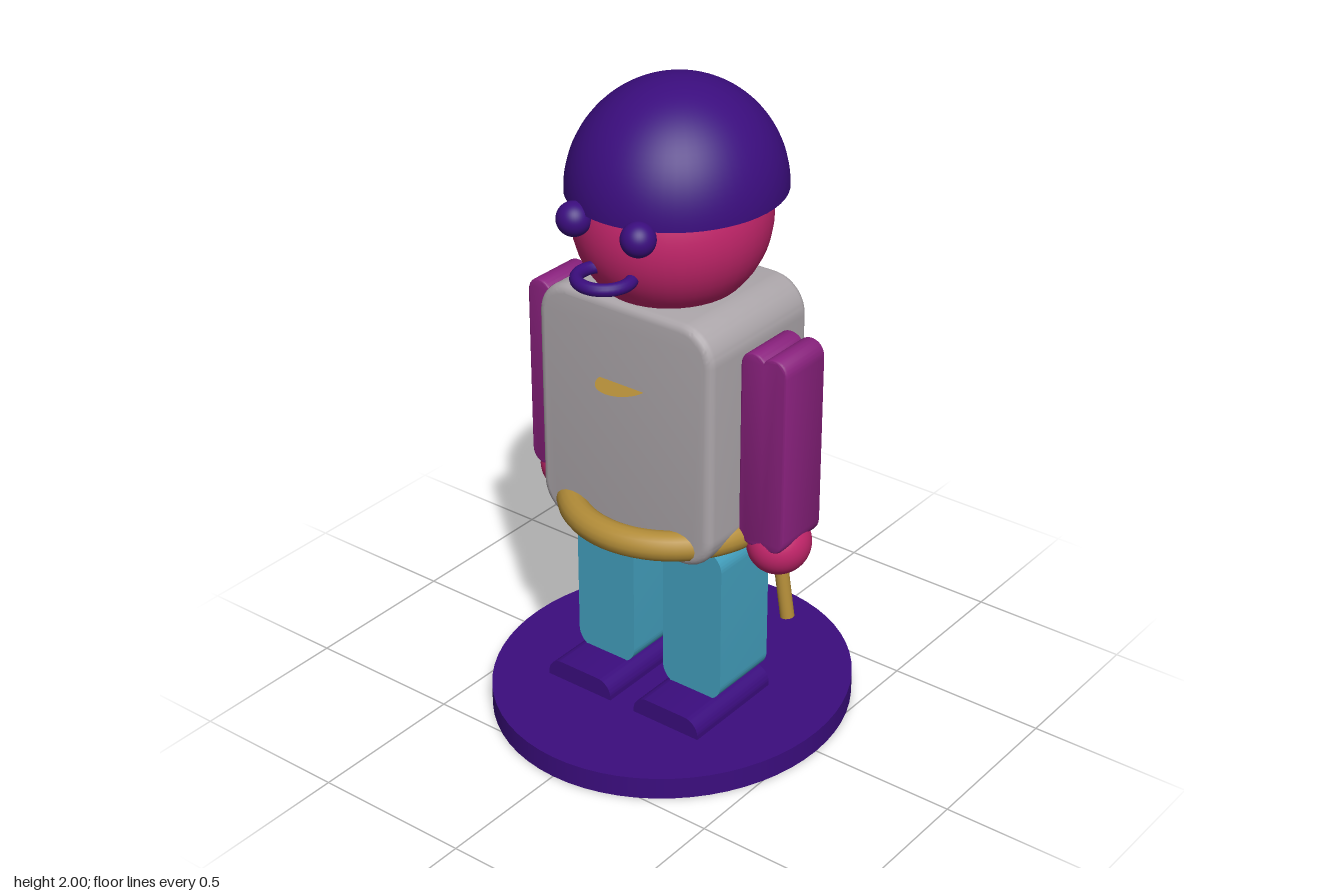
import * as THREE from 'three';
import { toCreasedNormals } from 'three/addons/utils/BufferGeometryUtils.js';

const paint = (name, color) => {
  const m = new THREE.MeshStandardMaterial({ color });
  m.name = name;
  return m;
};

// Rectangle outline with rounded corners, centred on the origin
function roundedRect(w, h, r) {
  const s = new THREE.Shape(), x = w / 2, y = h / 2;
  s.absarc(x - r, y - r, r, 0, Math.PI / 2);
  s.absarc(-x + r, y - r, r, Math.PI / 2, Math.PI);
  s.absarc(-x + r, -y + r, r, Math.PI, Math.PI * 1.5);
  s.absarc(x - r, -y + r, r, Math.PI * 1.5, Math.PI * 2);
  s.closePath();
  return s;
}

// Sleeve outline with a two-lobed top and bottom
function sleeveShape(w, h) {
  const s = new THREE.Shape(), x = w / 2, y = h / 2;
  s.moveTo(-x, -y + 0.05);
  s.lineTo(-x, y - 0.05);
  s.bezierCurveTo(-x, y, -0.025, y + 0.012, 0, y - 0.018);
  s.bezierCurveTo(0.025, y + 0.012, x, y, x, y - 0.05);
  s.lineTo(x, -y + 0.05);
  s.bezierCurveTo(x, -y, 0.025, -y - 0.012, 0, -y + 0.018);
  s.bezierCurveTo(-0.025, -y - 0.012, -x, -y, -x, -y + 0.05);
  return s;
}

// Extrusion centred on z, with its bevel kept inside the outline
function slab(shape, depth, bevel) {
  const g = new THREE.ExtrudeGeometry(shape, {
    depth: depth - 2 * bevel, curveSegments: 10, bevelEnabled: bevel > 0,
    bevelThickness: bevel, bevelSize: bevel, bevelOffset: -bevel, bevelSegments: 4,
  });
  g.translate(0, 0, -depth / 2 + bevel);
  return toCreasedNormals(g, 0.6);
}

export function createModel() {
  const model = new THREE.Group();
  const purple = paint('deepPurple', 0x3b0d7e);
  const pink = paint('pinkSkin', 0xc2256a);
  const grey = paint('greyShirt', 0xaca6aa);
  const plum = paint('plumSleeves', 0x8a217e);
  const blue = paint('blueTrousers', 0x43a0be);
  const gold = paint('gold', 0xb28c38);

  const add = (name, geometry, material, x, y, z) => {
    const mesh = new THREE.Mesh(geometry, material);
    mesh.name = name;
    mesh.position.set(x, y, z);
    model.add(mesh);
    return mesh;
  };

  // Oval stand
  add('base', new THREE.CylinderGeometry(1, 1, 0.07, 64), purple, 0, 0.035, 0).scale.set(0.54, 1, 0.575);

  // Body, belt ring and small flat badge
  add('torso', slab(roundedRect(0.62, 0.77, 0.11), 0.46, 0.025), grey, 0, 1.02, 0);
  add('belt', new THREE.TorusGeometry(0.3, 0.045, 16, 64), gold, 0, 0.697, 0).rotation.x = Math.PI / 2;
  add('badge', new THREE.CircleGeometry(0.08, 32), gold, -0.005, 1.155, 0.222).rotation.x = -Math.PI / 2;

  // Limbs, mirrored left and right
  const foot = slab(roundedRect(0.24, 0.11, 0.05), 0.36, 0);
  const leg = slab(roundedRect(0.215, 0.515, 0.06), 0.235, 0);
  const arm = slab(sleeveShape(0.158, 0.622), 0.184, 0.008);
  const ball = new THREE.SphereGeometry(1, 40, 28);
  for (const [side, s] of [['left', 1], ['right', -1]]) {
    add(side + 'Foot', foot, purple, s * 0.165, 0.075, 0.07);
    add(side + 'Leg', leg, blue, s * 0.163, 0.378, 0.002);
    add(side + 'Arm', arm, plum, s * 0.387, 1, 0);
    add(side + 'Hand', ball, pink, s * 0.388, 0.673, 0).scale.set(0.093, 0.093, 0.1);
    add(side + 'Eye', ball, purple, s * 0.112, 1.66, 0.296).scale.setScalar(0.05);
  }

  // Short stick held in the left hand
  add('stick', new THREE.CylinderGeometry(0.021, 0.021, 0.24, 20), gold, 0.418, 0.567, 0.02).rotation.z = 0.16;

  // Head with ring-shaped mouth
  add('head', ball, pink, 0, 1.605, 0).scale.set(0.28, 0.28, 0.296);
  add('mouth', new THREE.TorusGeometry(0.077, 0.019, 14, 40), purple, 0, 1.517, 0.305).rotation.x = Math.PI / 2;

  // Open dome cap
  const capColor = purple.clone();
  capColor.side = THREE.DoubleSide;
  const dome = new THREE.SphereGeometry(1, 56, 24, 0, Math.PI * 2, 0, Math.PI / 2);
  add('cap', dome, capColor, 0, 1.68, -0.02).scale.set(0.31, 0.32, 0.327);

  return model;
}
